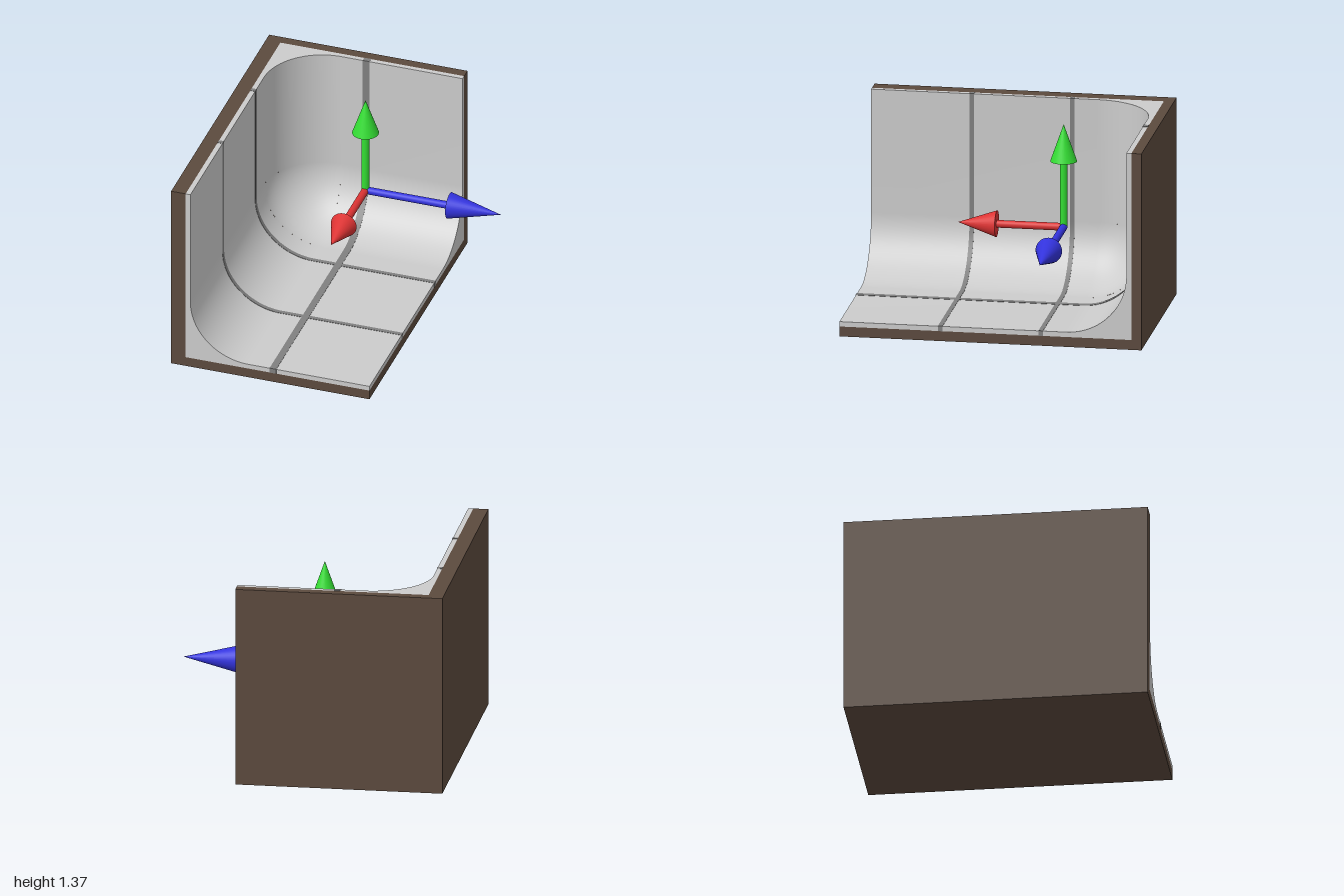
import * as THREE from 'three';
import { toCreasedNormals } from 'three/addons/utils/BufferGeometryUtils.js';

const mat = (name, color) => new THREE.MeshStandardMaterial({ name, color });

// Inner corner of the shell, where the lining begins, and its far limits
const X0 = -0.8, Y0 = 0.067, Z0 = -0.933;
const X1 = 0.467, Y1 = 1.333, Z1 = 1;
const T = 0.033, R = 0.4, C = T + R;

export function createModel() {
  const model = new THREE.Group();
  const brown = mat('brown shell', 0x5c4a3e);
  const grey = mat('light grey lining', 0xcccccc);
  const dark = mat('dark grey seam', 0x808080);

  const add = (name, geometry, material, parent = model) => {
    const mesh = new THREE.Mesh(geometry, material);
    mesh.name = name;
    parent.add(mesh);
    return mesh;
  };
  const slab = (name, x0, x1, y0, y1, z0, z1) =>
    add(name, new THREE.BoxGeometry(x1 - x0, y1 - y0, z1 - z0), brown)
      .position.set((x0 + x1) / 2, (y0 + y1) / 2, (z0 + z1) / 2);

  // Brown shell: side wall, floor and back wall
  slab('sideWall', -0.9, X0, 0, Y1, -1, Z1);
  slab('floor', X0, X1, 0, Y0, -1, Z1);
  slab('backWall', X0, X1, Y0, Y1, -1, Z0);

  // L-shaped section with a rounded inner corner, extruded by depth
  const cove = (a, b, depth, lift = 0) => {
    const t = T + lift, s = new THREE.Shape();
    s.moveTo(0, 0);
    s.lineTo(a, 0);
    s.lineTo(a, t);
    s.lineTo(C, t);
    s.absarc(C, C, R - lift, Math.PI * 1.5, Math.PI, true);
    s.lineTo(t, b);
    s.lineTo(0, b);
    s.closePath();
    const g = new THREE.ExtrudeGeometry(s, { depth, bevelEnabled: false, curveSegments: 20 });
    return toCreasedNormals(g, 0.5);
  };
  const X = new THREE.Vector3(1, 0, 0), Y = new THREE.Vector3(0, 1, 0), Z = new THREE.Vector3(0, 0, 1);
  const orient = (g, u, v, w, x, y, z) =>
    g.applyMatrix4(new THREE.Matrix4().makeBasis(u, v, w).setPosition(x, y, z));
  const alongZ = (g, z) => orient(g, X, Y, Z, X0, Y0, z);
  const alongX = (g, x) => orient(g, Z, Y, X.clone().negate(), x, Y0, Z0);
  const alongY = (g, y) => orient(g, Z, X, Y, X0, y, Z0);

  // Lining: three coves meeting in a spherical corner
  add('sideLining', alongZ(cove(X1 - X0, Y1 - Y0, Z1 - Z0 - C), Z0 + C), grey);
  add('backLining', alongX(cove(C, Y1 - Y0, X1 - X0 - C), X1), grey);
  add('uprightLining', alongY(cove(C, C, Y1 - Y0 - C), Y0 + C), grey);

  // Inverted octant so that its hollow side shows
  const corner = new THREE.SphereGeometry(R, 20, 20, Math.PI / 2, Math.PI / 2, 0, Math.PI / 2);
  corner.scale(-1, -1, -1);
  const normals = corner.attributes.normal.array;
  for (let i = 0; i < normals.length; i++) normals[i] *= -1;
  add('cornerLining', corner, grey).position.set(X0 + C, Y0 + C, Z0 + C);

  // Dark seams between the panels
  const e = 0.002;
  for (const z of [-0.333, 0.333])
    add('crossSeam', alongZ(cove(X1 - X0 + e, Y1 - Y0 + e, 0.03, e), z - 0.015), dark);
  add('longSeam', alongX(cove(Z1 - Z0 + e, Y1 - Y0 + e, 0.046, e), -0.175), dark);

  // Axis arrows, built pointing up and then turned
  const arrow = (name, color, neck, tip, rx, rz) => {
    const group = new THREE.Group();
    group.name = name;
    const material = mat(name + ' colour', color);
    const shaft = new THREE.CylinderGeometry(0.025, 0.025, neck, 24);
    add('shaft', shaft.translate(0, neck / 2, 0), material, group);
    const head = new THREE.ConeGeometry(0.088, tip - neck, 32);
    add('head', head.translate(0, (neck + tip) / 2, 0), material, group);
    group.rotation.set(rx, 0, rz);
    group.position.set(-0.033, 0.67, -0.4);
    model.add(group);
  };
  arrow('upArrow', 0x33dd33, 0.447, 0.697, 0, 0);
  arrow('sideArrow', 0x3333dd, 0.578, 0.933, 0, -Math.PI / 2);
  arrow('frontArrow', 0xdd3333, 0.443, 0.7, Math.PI / 2, 0);

  return model;
}
